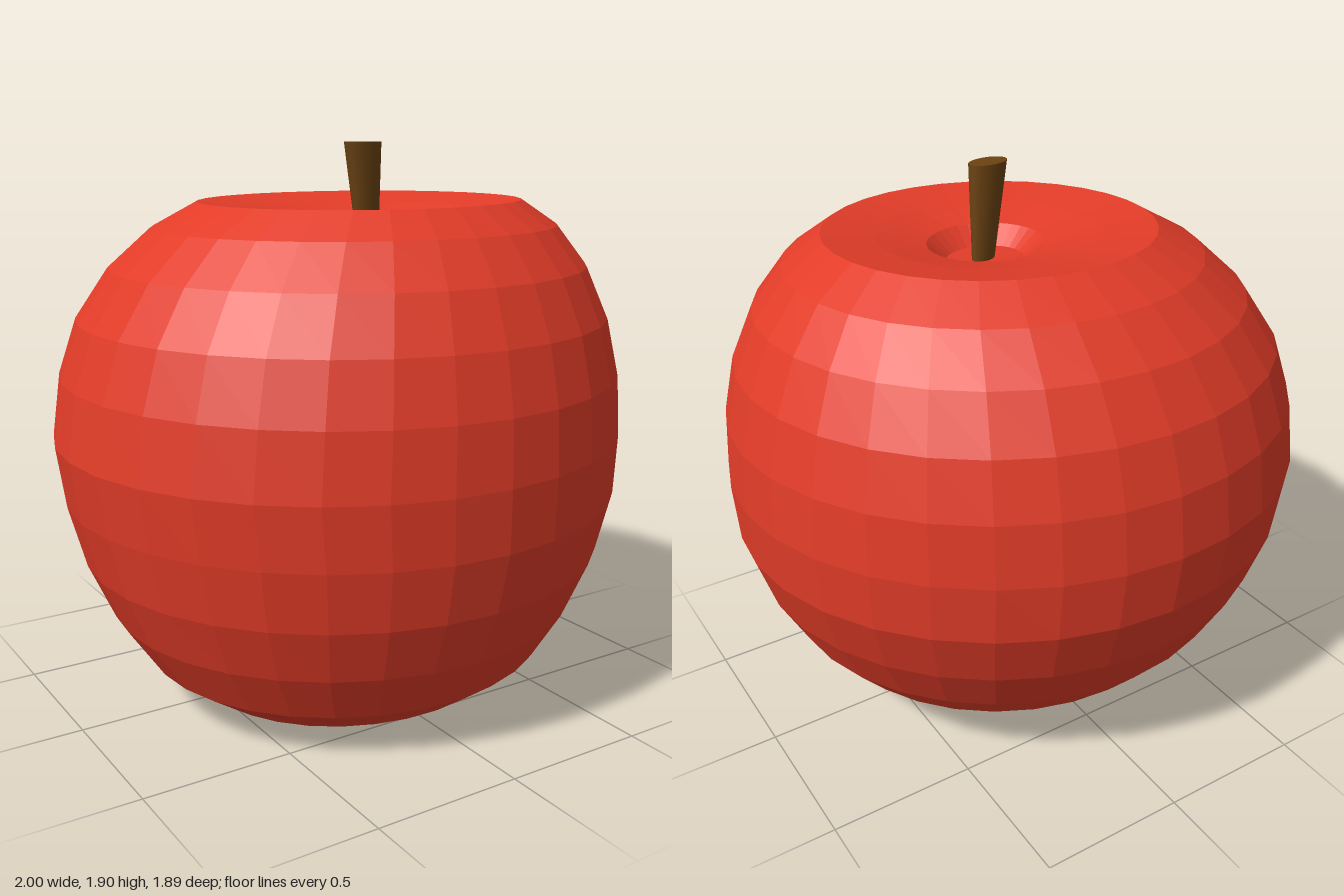
import * as THREE from 'three';

const SIDES = 32;

// Tilted elliptical cross-sections from the stem hollow, over the skin, to the base hollow:
// [centre x, centre z, radius x, radius z, height, rise toward +x, rise toward +z]
const RINGS = [
  [0.045, 0.10, 0, 0, 1.57, 0, 0],
  [0.045, 0.10, 0.135, 0.12, 1.575, 0, 0],
  [0.045, 0.095, 0.2, 0.19, 1.635, 0, 0],
  [0.05, 0.075, 0.37, 0.36, 1.675, 0.006, -0.006],
  [0.05, 0.055, 0.56, 0.53, 1.705, 0.01, -0.01],
  [0.045, 0.035, 0.705, 0.665, 1.62, 0.01, -0.01],
  [0.03, 0.02, 0.83, 0.79, 1.488, 0.01, -0.015],
  [0.015, 0.01, 0.925, 0.88, 1.32, 0.01, -0.02],
  [0.007, 0.005, 0.978, 0.93, 1.133, 0.01, -0.025],
  [0, 0.002, 1, 0.947, 0.925, 0.015, -0.025],
  [0.007, 0.007, 0.978, 0.932, 0.72, 0.015, -0.025],
  [0, 0.025, 0.92, 0.875, 0.518, 0.015, -0.02],
  [-0.01, 0.045, 0.83, 0.785, 0.329, 0.01, -0.013],
  [-0.015, 0.072, 0.715, 0.672, 0.171, 0.015, -0.012],
  [-0.005, 0.092, 0.565, 0.518, 0.068, 0.018, -0.008],
  [-0.015, 0.09, 0.23, 0.2, 0.02, -0.012, 0.017],
  [0, 0.09, 0.12, 0.11, 0.1, 0, 0],
  [0, 0.09, 0, 0, 0.12, 0, 0],
];

// Skin the rings from top to bottom, skipping collapsed triangles at the poles
function loft(rings) {
  const positions = [];
  const index = [];
  for (const [cx, cz, rx, rz, y, tx, tz] of rings) {
    for (let j = 0; j < SIDES; j++) {
      const a = (j / SIDES) * Math.PI * 2;
      const c = Math.cos(a), s = Math.sin(a);
      positions.push(cx + rx * c, y + tx * c + tz * s, cz + rz * s);
    }
  }
  for (let i = 0; i < rings.length - 1; i++) {
    for (let j = 0; j < SIDES; j++) {
      const k = (j + 1) % SIDES;
      const a = i * SIDES + j, b = i * SIDES + k;
      const c = a + SIDES, d = b + SIDES;
      if (rings[i][2] > 0) index.push(a, b, c);
      if (rings[i + 1][2] > 0) index.push(b, d, c);
    }
  }
  const indexed = new THREE.BufferGeometry();
  indexed.setAttribute('position', new THREE.Float32BufferAttribute(positions, 3));
  indexed.setIndex(index);
  const geometry = indexed.toNonIndexed();
  geometry.computeVertexNormals();
  return geometry;
}

export function createModel() {
  const group = new THREE.Group();
  group.name = 'apple';

  // Faceted fruit with hollows at both ends
  const fruit = new THREE.Mesh(
    loft(RINGS),
    new THREE.MeshStandardMaterial({ color: 0xe23c28, flatShading: true })
  );
  fruit.name = 'fruit';
  group.add(fruit);

  // Flattened stem, flaring and leaning toward its top
  const bottom = 1.56, height = 0.335;
  const stemGeometry = new THREE.CylinderGeometry(0.073, 0.043, height, 24);
  stemGeometry.scale(1, 1, 0.6);
  stemGeometry.rotateY(0.12);
  const p = stemGeometry.attributes.position;
  for (let i = 0; i < p.count; i++) {
    const t = p.getY(i) / height + 0.5;
    p.setX(i, p.getX(i) + 0.046 - 0.028 * t);
    p.setZ(i, p.getZ(i) + 0.112 + 0.01 * t);
  }
  stemGeometry.translate(0, bottom + height / 2, 0);
  stemGeometry.computeVertexNormals();
  const stem = new THREE.Mesh(stemGeometry, new THREE.MeshStandardMaterial({ color: 0x6b4212 }));
  stem.name = 'stem';
  group.add(stem);

  return group;
}
